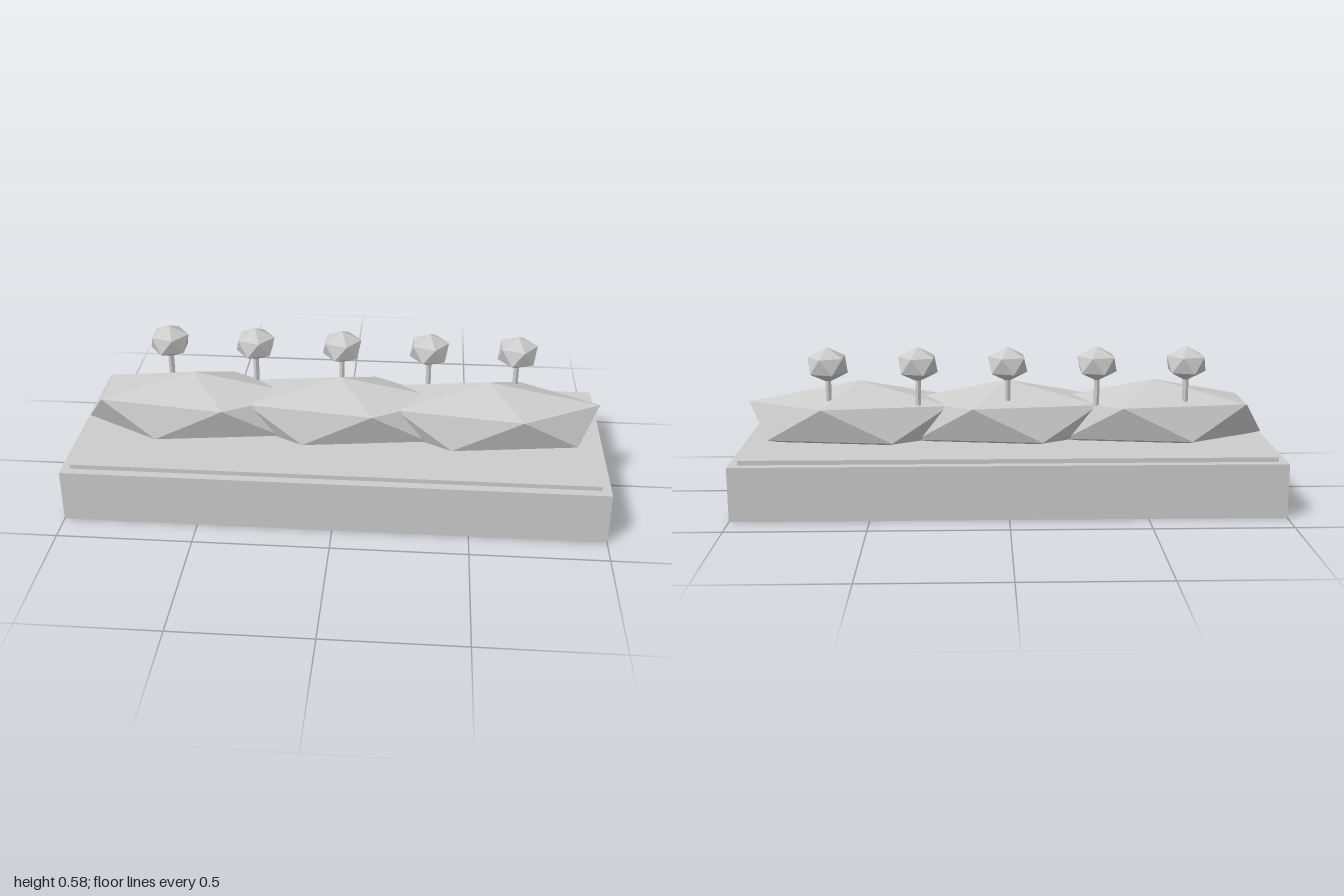
import * as THREE from 'three';

// Twenty-sided ball with its poles on the y axis and an upper-ring corner at +x
function facetedBall() {
  const points = [0, 1, 0, 0, -1, 0];
  const faces = [];
  const h = 1 / Math.sqrt(5), r = 2 / Math.sqrt(5);
  for (let i = 0; i < 5; i++) {
    const a = (i * 2 * Math.PI) / 5, b = a + Math.PI / 5;
    points.push(r * Math.cos(a), h, r * Math.sin(a));
    points.push(r * Math.cos(b), -h, r * Math.sin(b));
    const t0 = 2 + 2 * i, b0 = t0 + 1;
    const t1 = 2 + 2 * ((i + 1) % 5), b1 = t1 + 1;
    faces.push(0, t1, t0, t0, t1, b0, b0, t1, b1, 1, b0, b1);
  }
  return new THREE.PolyhedronGeometry(points, faces, 1, 0);
}

export function createModel() {
  const model = new THREE.Group();
  model.name = 'flowerPlanter';
  const grey = new THREE.MeshStandardMaterial({ color: 0xcccccc, flatShading: true });
  grey.name = 'light grey';

  const add = (name, geometry, x, y, z) => {
    const mesh = new THREE.Mesh(geometry, grey);
    mesh.name = name;
    mesh.position.set(x, y, z);
    model.add(mesh);
    return mesh;
  };

  // Planter box and the soil layer standing just above its rim
  add('planterBox', new THREE.BoxGeometry(2, 0.2, 0.778), 0, 0.1, 0);
  add('soil', new THREE.BoxGeometry(1.934, 0.067, 0.711), 0, 0.183, 0);

  // Three overlapping bushes
  const ball = facetedBall();
  for (const x of [-0.56, 0, 0.56]) {
    add('bush', ball, x, 0.29, 0).scale.set(0.472, 0.144, 0.194);
  }

  // Row of five flowers along the back
  const stem = new THREE.CylinderGeometry(0.0115, 0.0115, 0.2, 6);
  for (let i = -2; i <= 2; i++) {
    const x = i / 3;
    add('flowerStem', stem, x, 0.4, -0.1);
    add('flowerHead', ball, x, 0.513, -0.1).scale.set(0.0825, 0.0657, 0.0825);
  }
  return model;
}
